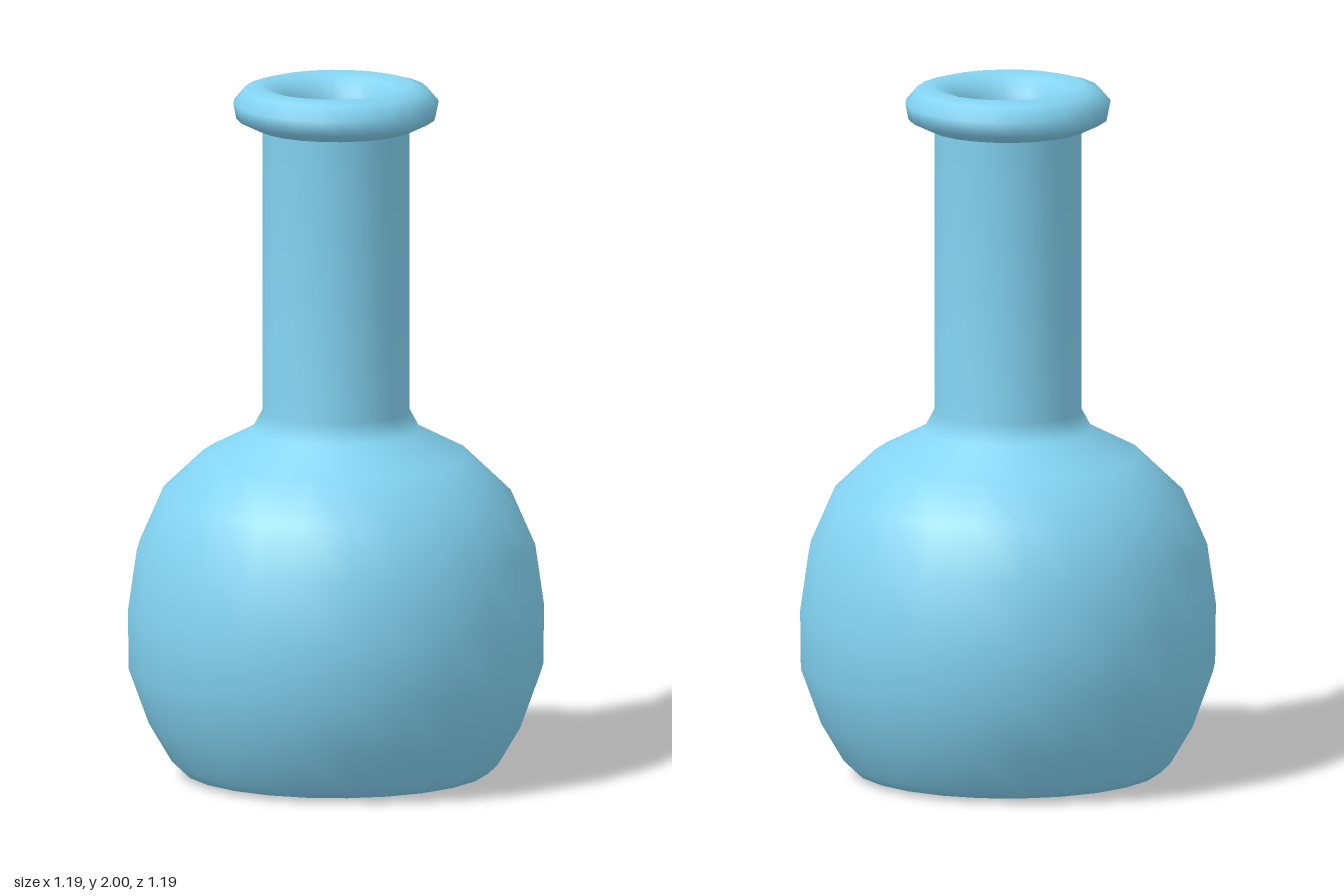
import * as THREE from 'three';

export function createModel() {
  const group = new THREE.Group();
  group.name = 'flask';

  // Cross-section from the underside, up the outside, over the lip and down the inside
  const profile = [
    // base
    [0, 0], [0.2, 0.004], [0.41, 0.009], [0.44, 0.012], [0.47, 0.04],
    // round body and shoulder
    [0.535, 0.15], [0.593, 0.31], [0.595, 0.48], [0.57, 0.655],
    [0.5, 0.815], [0.385, 0.925], [0.24, 1.0], [0.21, 1.055],
    // neck
    [0.21, 1.46], [0.21, 1.875],
    // rolled lip
    [0.23, 1.878], [0.285, 1.905], [0.294, 1.95], [0.262, 1.988], [0.22, 2.0],
    [0.17, 1.985], [0.14, 1.945], [0.127, 1.88],
    // inside of neck and body
    [0.127, 1.05], [0.2, 0.95], [0.36, 0.87], [0.46, 0.77], [0.525, 0.63],
    [0.545, 0.48], [0.54, 0.32], [0.48, 0.17], [0.4, 0.07], [0, 0.06],
  ].map(([r, y]) => new THREE.Vector2(r, y));

  const body = new THREE.Mesh(
    new THREE.LatheGeometry(profile, 24),
    new THREE.MeshStandardMaterial({ color: 0x83d3f2 })
  );
  body.name = 'flaskBody';
  group.add(body);
  return group;
}
